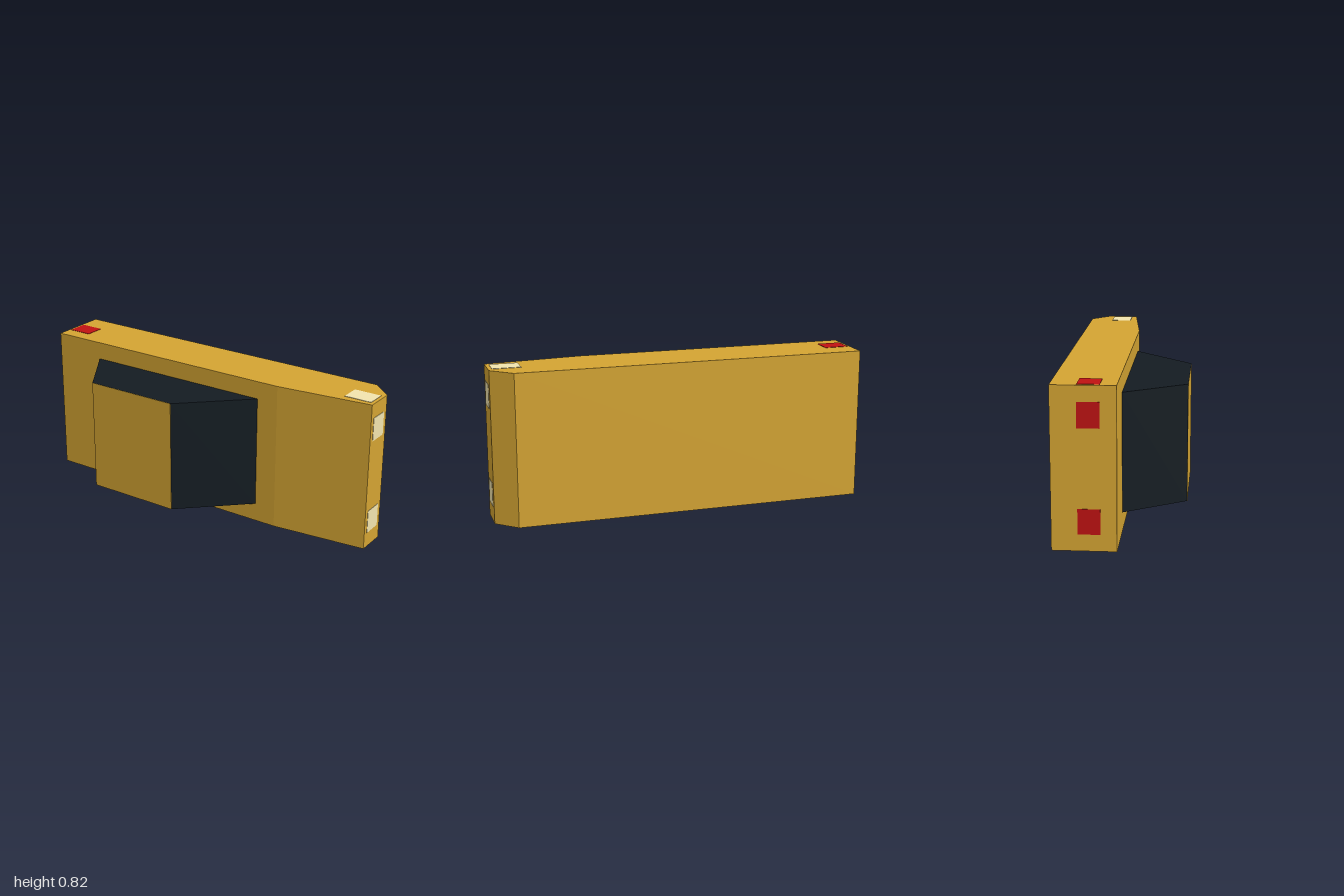
import * as THREE from 'three';

const paint = (color) => new THREE.MeshStandardMaterial({ color, flatShading: true });

const HEIGHT = 0.815;
const THIN = 0.004;

// Extrudes an outline of [x, z] points upwards from y0 to y1
function prism(name, outline, y0, y1, material) {
  const shape = new THREE.Shape(outline.map(([x, z]) => new THREE.Vector2(x, -z)));
  const geometry = new THREE.ExtrudeGeometry(shape, { depth: y1 - y0, bevelEnabled: false });
  geometry.rotateX(-Math.PI / 2).translate(0, y0, 0);
  const mesh = new THREE.Mesh(geometry, material);
  mesh.name = name;
  return mesh;
}

function panel(name, size, position, material) {
  const mesh = new THREE.Mesh(new THREE.BoxGeometry(...size), material);
  mesh.position.set(...position);
  mesh.name = name;
  return mesh;
}

export function createModel() {
  const model = new THREE.Group();
  model.name = 'toyCar';
  const gold = paint(0xd4a432);
  const glass = paint(0x141c22);
  const cream = paint(0xf2e4ae);
  const red = paint(0xc01212);

  // Car lying on its side, nose towards +x and roof towards +z
  model.add(prism('body', [
    [-1, 0], [-1, -0.318], [0.89, -0.318], [1, -0.218], [1, -0.055], [0.48, 0],
  ], 0, HEIGHT, gold));

  // Dark cabin windows with a painted roof
  model.add(prism('cabinWindows', [
    [-0.71, 0], [0.36, 0], [0.025, 0.317], [-0.5, 0.317],
  ], 0.102, 0.718, glass));
  model.add(panel('roof', [0.525, 0.616, 0.002], [-0.2375, 0.41, 0.317], gold));

  // Lamps on both ends and on both flanks
  const z = -0.135;
  for (const [end, x, sideX, sideLength, material] of [
    ['head', 1, 0.905, 0.15, cream],
    ['tail', -1, -0.92, 0.13, red],
  ]) {
    for (const y of [0.148, HEIGHT - 0.143]) {
      model.add(panel(end + 'Light', [THIN, 0.127, 0.11], [x, y, z], material));
    }
    for (const y of [0, HEIGHT]) {
      model.add(panel(end + 'SideMarker', [sideLength, THIN, 0.11], [sideX, y, z], material));
    }
  }
  return model;
}
